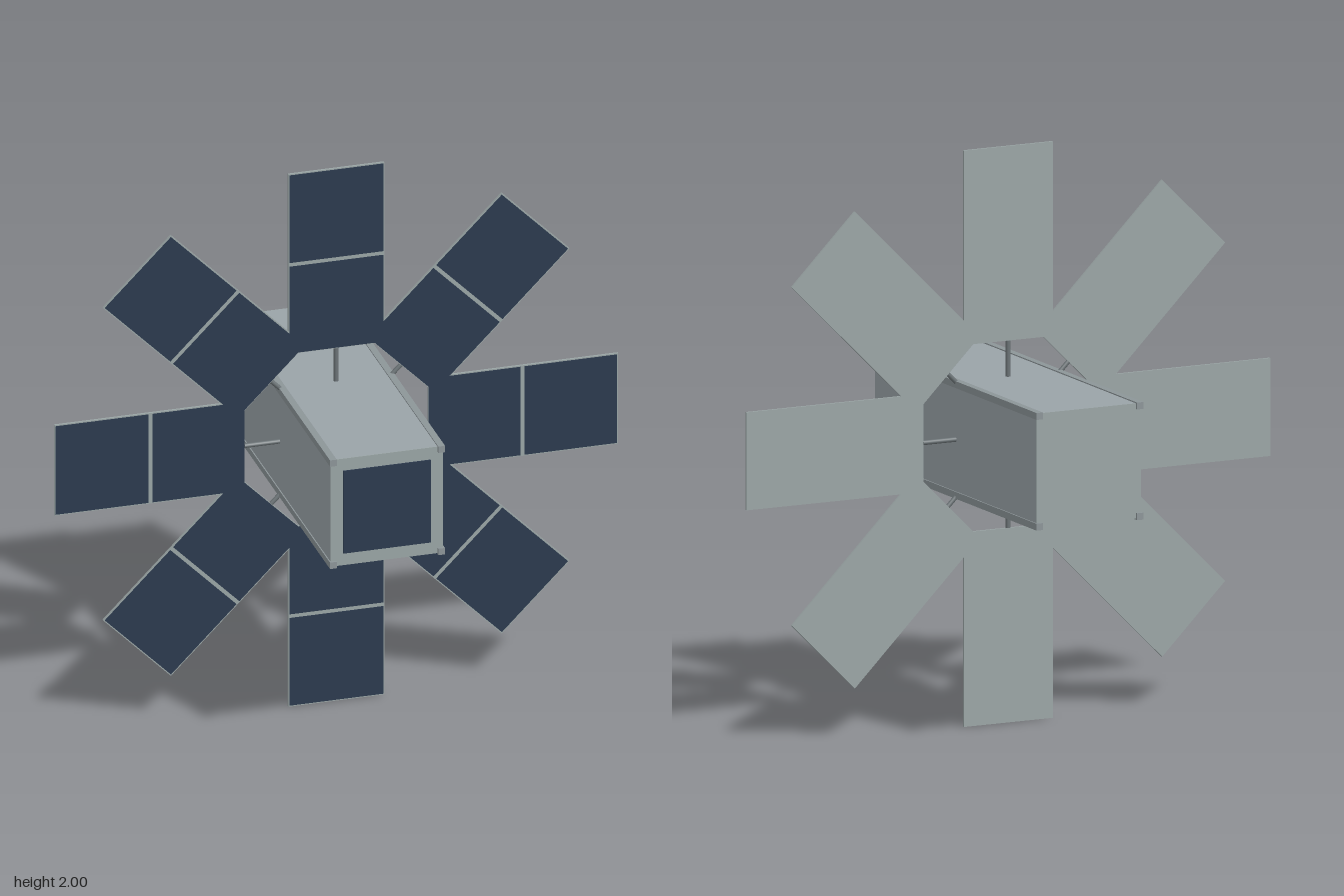
import * as THREE from 'three';

export function createModel() {
  const model = new THREE.Group();
  model.name = 'satellite';

  const material = (name, color) => {
    const m = new THREE.MeshStandardMaterial({ color });
    m.name = name;
    return m;
  };
  const bodyGrey = material('body grey', 0x9aa3a8);
  const frameGrey = material('frame grey', 0x9aa5a5);
  const railGrey = material('rail grey', 0x8c9598);
  const strutGrey = material('strut grey', 0x6b7376);
  const cellBlue = material('solar cell blue', 0x2c3a4e);

  const add = (parent, name, geometry, mat, x = 0, y = 0, z = 0) => {
    const mesh = new THREE.Mesh(geometry, mat);
    mesh.name = name;
    mesh.position.set(x, y, z);
    parent.add(mesh);
    return mesh;
  };
  const plate = (points, depth) => new THREE.ExtrudeGeometry(
    new THREE.Shape(points.map(([x, y]) => new THREE.Vector2(x, y))),
    { depth, bevelEnabled: false });

  // Bus: long square box with a pale front frame and a solar cell
  const bus = new THREE.Group();
  bus.name = 'bus';
  bus.position.y = 1;
  model.add(bus);
  add(bus, 'busBody', new THREE.BoxGeometry(0.4, 0.4, 1.198), bodyGrey);
  for (const s of [-1, 1]) {
    add(bus, 'endPlate', new THREE.BoxGeometry(0.4, 0.4, 0.004), frameGrey, 0, 0, s * 0.599);
  }
  add(bus, 'frontCell', new THREE.BoxGeometry(0.31, 0.31, 0.006), cellBlue, 0, 0, 0.602);

  // Four corner rails, ending in small feet beyond the bus
  const railGeometry = new THREE.BoxGeometry(0.024, 0.024, 1.22);
  for (const sx of [-1, 1]) {
    for (const sy of [-1, 1]) {
      add(bus, 'cornerRail', railGeometry, railGrey, sx * 0.192, sy * 0.192, 0);
    }
  }

  // Eight solar wings, mitred together at the root into an octagonal ring
  const inner = 0.325, outer = 1, half = 0.17, rim = 0.004, split = 0.66;
  const tan = Math.tan(Math.PI / 8);
  const thickness = 0.008;
  const root = inner * tan;
  const frameGeometry = plate([
    [-root, inner], [root, inner], [half, half / tan], [half, outer],
    [-half, outer], [-half, half / tan]], thickness);

  // Cells stay flush at the mitres and leave a thin rim elsewhere
  const w = half - rim;
  const low = inner + 0.002;
  const innerCell = plate([
    [-low * tan, low], [low * tan, low], [w, w / tan], [w, split - 0.007],
    [-w, split - 0.007], [-w, w / tan]], 0.002);
  const outerCell = plate([
    [-w, split + 0.007], [w, split + 0.007], [w, outer - rim], [-w, outer - rim]], 0.002);

  for (let i = 0; i < 8; i++) {
    const wing = new THREE.Group();
    wing.name = 'solarWing';
    wing.position.y = 1;
    wing.rotation.z = i * Math.PI / 4;
    model.add(wing);
    add(wing, 'wingFrame', frameGeometry, frameGrey, 0, 0, -thickness / 2);
    add(wing, 'innerCell', innerCell, cellBlue, 0, 0, thickness / 2 - 0.0005);
    add(wing, 'outerCell', outerCell, cellBlue, 0, 0, thickness / 2 - 0.0005);

    // Strut from the bus side or corner to the wing root
    const start = i % 2 ? 0.26 : 0.19;
    add(wing, 'strut', new THREE.CylinderGeometry(0.008, 0.008, inner - start, 10),
      strutGrey, 0, (inner + start) / 2, 0);
  }

  return model;
}
